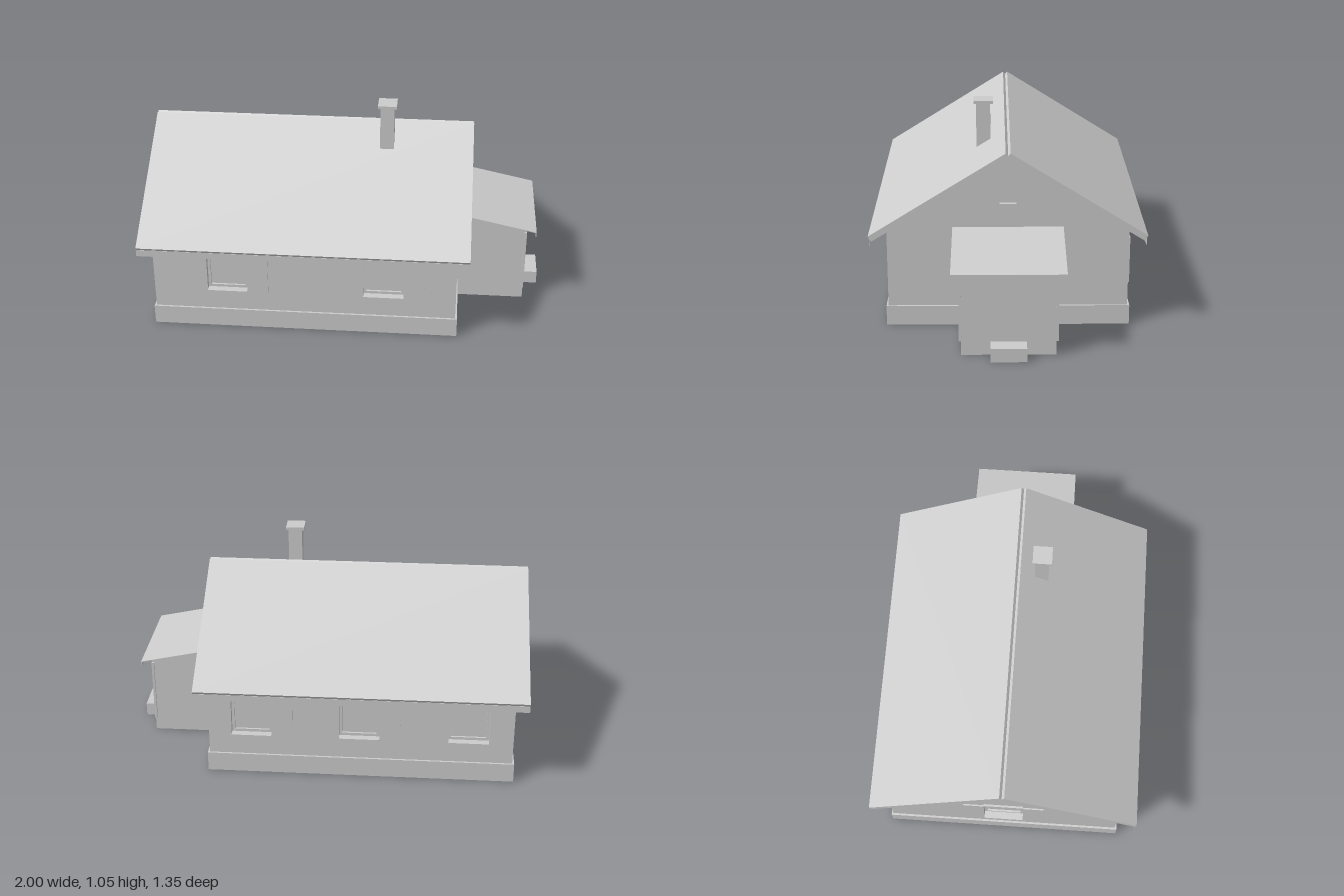
import * as THREE from 'three';

const grey = new THREE.MeshStandardMaterial({ color: 0xcccccc });
grey.name = 'plain grey';
grey.side = THREE.DoubleSide;

function add(parent, name, geometry) {
  const mesh = new THREE.Mesh(geometry, grey);
  mesh.name = name;
  parent.add(mesh);
  return mesh;
}

// Box given by its minimum and maximum along each axis
function box(parent, name, x0, x1, y0, y1, z0, z1) {
  const g = new THREE.BoxGeometry(x1 - x0, y1 - y0, z1 - z0);
  g.translate((x0 + x1) / 2, (y0 + y1) / 2, (z0 + z1) / 2);
  return add(parent, name, g);
}

const polygon = (points) => new THREE.Shape(points.map(([x, y]) => new THREE.Vector2(x, y)));

// Outline in (z, y), extruded along x
function alongX(parent, name, points, x0, x1) {
  const g = new THREE.ExtrudeGeometry(polygon(points), { depth: x1 - x0, bevelEnabled: false });
  g.rotateY(-Math.PI / 2).translate(x1, 0, 0);
  return add(parent, name, g);
}

// Window in a wall whose outer face is z = 0 and faces +z
function buildWindow(wall, { x, w, y0, y1, shutters }) {
  const win = new THREE.Group();
  win.name = 'window';
  win.position.x = x;
  wall.add(win);
  const h = w / 2, d = shutters ? 0.03 : 0.02, t = 0.004;
  box(win, 'pane', -h, h, y0, y1, -d - t, -d);
  for (const s of [-1, 1]) {
    const side = box(win, 'sideReveal', h, h + t, y0, y1, -d - t, 0);
    if (s < 0) side.scale.x = -1;
  }
  box(win, 'lowerReveal', -h, h, y0 - t, y0, -d - t, 0);
  box(win, 'upperReveal', -h, h, y1, y1 + t, -d - t, 0);
  if (!shutters) return;
  for (const s of [-1, 1]) {
    const c = s * (h + 0.052);
    box(win, 'shutter', c - 0.052, c + 0.052, y0, y1, 0, 0.007);
    const f = s * (h - 0.007);
    box(win, 'frameStile', f - 0.007, f + 0.007, y0, y1, -d, -d + 0.01);
  }
  box(win, 'frameBottom', -h, h, y0, y0 + 0.014, -d, -d + 0.01);
  box(win, 'frameTop', -h, h, y1 - 0.014, y1, -d, -d + 0.01);
  box(win, 'sill', -h, h, y0 - 0.008, y0, -d, 0.016);
  box(win, 'lintel', -h, h, 0.458, 0.475, 0, 0.01);
}

// Thin wall with window openings, outer face on z = 0
function buildWall(parent, name, outline, windows) {
  const wall = new THREE.Group();
  wall.name = name;
  parent.add(wall);
  const shape = polygon(outline);
  for (const { x, w, y0, y1 } of windows) {
    const h = w / 2;
    shape.holes.push(new THREE.Path([[x - h, y0], [x + h, y0], [x + h, y1], [x - h, y1]]
      .map(([a, b]) => new THREE.Vector2(a, b))));
  }
  const g = new THREE.ExtrudeGeometry(shape, { depth: 0.01, bevelEnabled: false });
  add(wall, 'wallPanel', g.translate(0, 0, -0.01));
  for (const win of windows) buildWindow(wall, win);
  return wall;
}

const shuttered = (x) => ({ x, w: 0.2, y0: 0.215, y1: 0.45, shutters: true });
const attic = { x: 0, w: 0.083, y0: 0.63, y1: 0.71, shutters: false };

export function createModel() {
  const house = new THREE.Group();
  house.name = 'house';

  // Walls
  const X0 = -0.94, X1 = 0.57, Z = 0.59, EAVE = 0.5, APEX = 0.868;
  const front = buildWall(house, 'frontWall', [[X0, 0], [X1, 0], [X1, EAVE], [X0, EAVE]],
    [-0.57, 0.21].map(shuttered));
  front.position.z = Z;
  const back = buildWall(house, 'backWall', [[-X1, 0], [-X0, 0], [-X0, EAVE], [-X1, EAVE]],
    [-0.355, 0.18, 0.72].map(shuttered));
  back.rotation.y = Math.PI;
  back.position.z = -Z;
  const gable = [[-Z, 0], [Z, 0], [Z, EAVE], [0, APEX], [-Z, EAVE]];
  const left = buildWall(house, 'porchGable', gable, [attic]);
  left.rotation.y = Math.PI / 2;
  left.position.x = X1;
  const right = buildWall(house, 'farGable', gable, [shuttered(0), attic]);
  right.rotation.y = -Math.PI / 2;
  right.position.x = X0;
  box(house, 'ceiling', X0 + 0.01, X1 - 0.01, 0.455, 0.46, -Z + 0.01, Z - 0.01);

  // Plinth
  for (const s of [-1, 1]) {
    box(house, 'plinthLongSide', -0.95, 0.58, 0, 0.1, s * 0.595 - 0.005, s * 0.595 + 0.005);
  }
  box(house, 'plinthEnd', -0.95, -0.94, 0, 0.1, -Z, Z);
  box(house, 'plinthEnd', 0.57, 0.58, 0, 0.1, -Z, Z);

  // Main roof: one slab and one eave board per side
  for (const s of [-1, 1]) {
    alongX(house, 'roofSlope', [[0, 0.87], [0, 0.89], [s * 0.012, 0.902],
      [s * 0.675, 0.487], [s * 0.66, 0.46]], -1, 0.63);
    box(house, 'eaveBoard', -1, 0.63, 0.44, 0.475, s * 0.668 - 0.002, s * 0.668 + 0.002);
  }

  // Chimney
  box(house, 'chimney', 0.16, 0.23, 0.78, 1.04, 0.085, 0.155);
  box(house, 'chimneyCap', 0.148, 0.242, 1.04, 1.055, 0.072, 0.168);

  // Porch
  const porch = new THREE.Group();
  porch.name = 'porch';
  house.add(porch);
  const side = new THREE.ExtrudeGeometry(
    polygon([[0.57, 0], [0.92, 0], [0.92, 0.432], [0.57, 0.507]]), { depth: 0.45, bevelEnabled: false });
  add(porch, 'porchBody', side.translate(0, 0, -0.225));
  const roof = new THREE.ExtrudeGeometry(
    polygon([[0.57, 0.508], [0.965, 0.422], [0.965, 0.426], [0.57, 0.512]]), { depth: 0.54, bevelEnabled: false });
  add(porch, 'porchRoof', roof.translate(0, 0, -0.27));
  box(porch, 'porchEaveBoard', 0.963, 0.967, 0.4, 0.426, -0.27, 0.27);
  for (const s of [-1, 1]) {
    for (const x of [0.58, 0.915]) {
      box(porch, 'cornerTrim', x - 0.005, x + 0.007, 0.07, 0.4, s * 0.229 - 0.006, s * 0.229 + 0.006);
    }
  }
  box(porch, 'step', 0.915, 1, 0, 0.068, -0.085, 0.085);

  return house;
}
